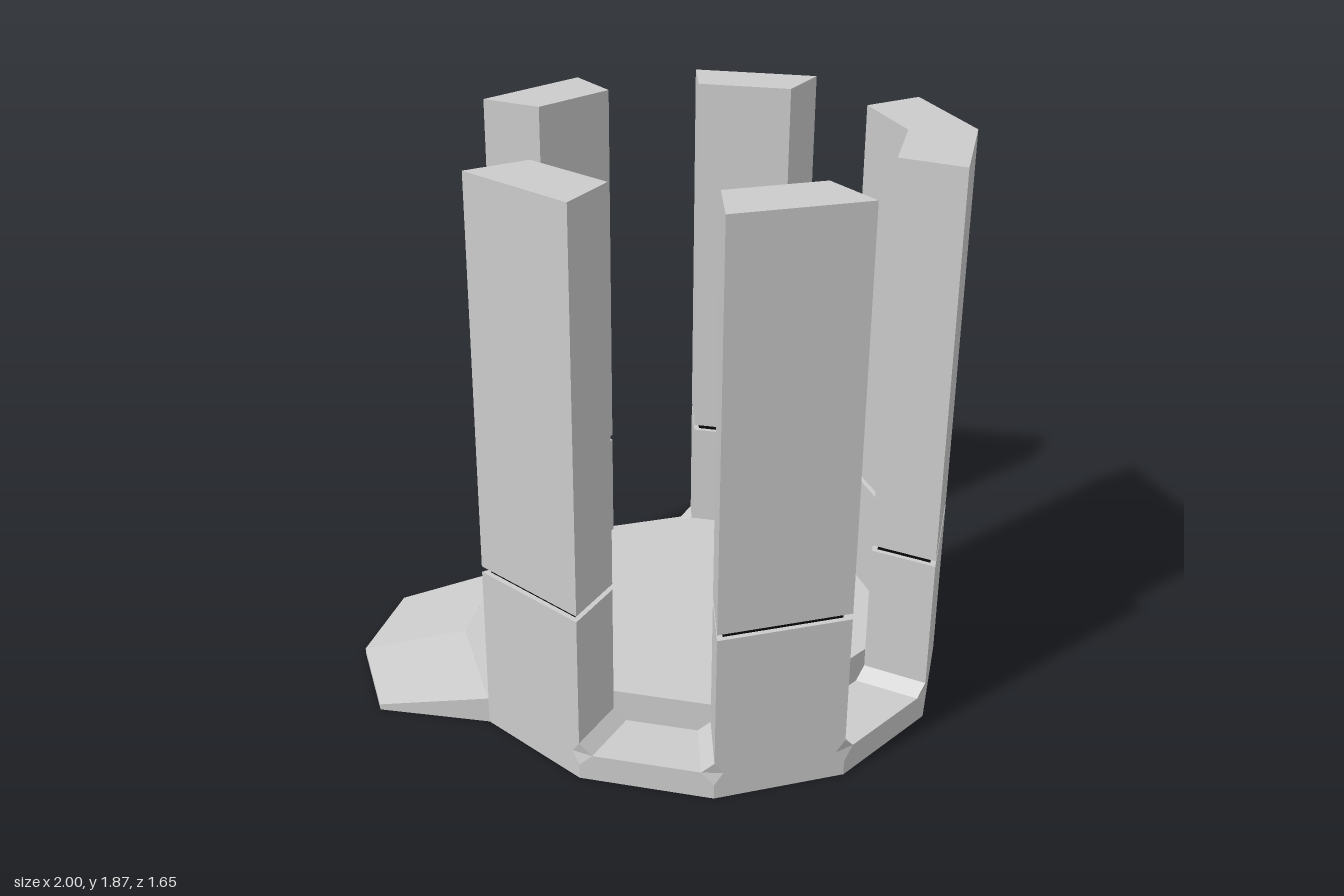
import * as THREE from 'three';

const CX = 0.176, OUTER = 0.824, INNER = 0.61; // dodecagon centre and radii
const FLOOR = 0.09, FOOT = 0.13, DECK = 0.195, TOP = 1.865, SEAM0 = 0.568, SEAM1 = 0.588;

const grey = new THREE.MeshStandardMaterial({ color: 0xcccccc, flatShading: true });
const black = new THREE.MeshStandardMaterial({ color: 0x080808, flatShading: true });

// Point at a radius and angle around the tower axis
function polar(r, deg, y = 0) {
  const a = THREE.MathUtils.degToRad(deg);
  return new THREE.Vector3(CX + r * Math.cos(a), y, r * Math.sin(a));
}

// Move from one point a given distance towards another
function step(from, to, d) {
  return from.clone().addScaledVector(to.clone().sub(from).normalize(), d);
}

// Solid joining equal-length rings, closed with a fan at each end
function loft(name, rings, material = grey) {
  const pos = [];
  const tri = (a, b, c) => {
    const area = b.clone().sub(a).cross(c.clone().sub(a)).length();
    if (area > 1e-9) pos.push(...a.toArray(), ...b.toArray(), ...c.toArray());
  };
  const n = rings[0].length;
  for (let k = 0; k + 1 < rings.length; k++) {
    const A = rings[k], B = rings[k + 1];
    for (let i = 0; i < n; i++) {
      const j = (i + 1) % n;
      tri(A[i], B[i], A[j]);
      tri(A[j], B[i], B[j]);
    }
  }
  const first = rings[0], last = rings[rings.length - 1];
  for (let i = 1; i + 1 < n; i++) {
    tri(first[0], first[i], first[i + 1]);
    tri(last[0], last[i + 1], last[i]);
  }
  const geo = new THREE.BufferGeometry();
  geo.setAttribute('position', new THREE.Float32BufferAttribute(pos, 3));
  geo.computeVertexNormals();
  const mesh = new THREE.Mesh(geo, material);
  mesh.name = name;
  return mesh;
}

const notched = (deg) => Math.abs(deg) >= 30 && Math.abs(deg) <= 120;
const isGapAfter = (deg) => [30, 90, -60, -120].includes(deg); // gap lies at larger angle

// Twelve-sided base outline; cut = 1 clips the corners beside the pillars
function baseRing(y, cut) {
  const ring = [];
  for (let i = 0; i < 12; i++) {
    const deg = i <= 6 ? i * 30 : i * 30 - 360;
    const p = polar(OUTER, deg, y);
    const d = cut && notched(deg) ? 1 : 0;
    const after = isGapAfter(deg);
    ring.push(step(p, polar(OUTER, deg - 30, y), d * (after ? 0.03 : 0.0415)));
    ring.push(step(p, polar(OUTER, deg + 30, y), d * (after ? 0.0415 : 0.03)));
  }
  return ring;
}

// Pillar outline between two angles; flare spreads its foot, inset shrinks it
function pillarRing(a0, a1, y, flare = 0, inset = 0) {
  const ro = OUTER - inset, ri = INNER + inset;
  const single = a1 - a0 === 30 ? Math.cos(Math.PI / 12) : 1;
  const mid = (a0 + a1) / 2;
  const end = (r, deg, dir, d) => {
    const p = polar(r, deg, y);
    return step(p, polar(r, deg + 30 * dir, y), d);
  };
  const f0 = notched(a0) ? flare : 0, f1 = notched(a1) ? flare : 0;
  return [
    polar(ro * single, mid, y),
    end(ro, a1, -1, f1 * 0.03 + inset),
    end(ro, a1, f1 ? 1 : -1, f1 * 0.0415 + inset),
    end(ri, a1, f1 ? 1 : -1, f1 * 0.0415 + inset),
    polar(ri * single, mid, y),
    end(ri, a0, f0 ? -1 : 1, f0 * 0.0415 + inset),
    end(ro, a0, f0 ? -1 : 1, f0 * 0.0415 + inset),
    end(ro, a0, 1, f0 * 0.03 + inset),
  ];
}

const V = (x, y, z) => new THREE.Vector3(x, y, z);

export function createModel() {
  const group = new THREE.Group();

  // Base slab and raised deck
  group.add(loft('base', [baseRing(0, 0), baseRing(0.05, 0), baseRing(FLOOR, 1)]));
  const deckRing = (y) => Array.from({ length: 12 }, (_, i) => polar(INNER, i * 30, y));
  group.add(loft('deck', [deckRing(FLOOR), deckRing(DECK)]));

  // Pillars split by a dark recessed seam
  for (const [a0, a1] of [[-30, 30], [60, 90], [120, 150], [-90, -60], [-150, -120]]) {
    const pillar = new THREE.Group();
    pillar.name = 'pillar';
    const ring = (y, flare, inset) => pillarRing(a0, a1, y, flare, inset);
    pillar.add(loft('lowerPillar', [ring(FLOOR, 1), ring(FOOT), ring(SEAM0)]));
    pillar.add(loft('seam', [ring(SEAM0, 0, 0.018), ring(SEAM1, 0, 0.018)], black));
    pillar.add(loft('upperPillar', [ring(SEAM1), ring(TOP)]));
    group.add(pillar);
  }

  // Entrance ramp, from one side through the middle to the other
  const rampSection = (xIn, zIn, xTip, zTip) => [
    V(xIn, 0, zIn), V(xTip, 0, zTip), V(xTip, 0.02, zTip), V(xIn, FLOOR, zIn),
  ];
  group.add(loft('ramp', [
    rampSection(-0.538, -0.412, -0.905, -0.337),
    rampSection(-0.648, 0, -1, 0),
    rampSection(-0.538, 0.412, -0.905, 0.337),
  ]));

  // Sloped step from the ramp up to the deck
  const stepSection = (xIn, xOut, z) => [V(xIn, FLOOR, z), V(xOut, FLOOR, z), V(xIn, DECK, z)];
  group.add(loft('deckSlope', [
    stepSection(-0.352, -0.485, -0.305),
    stepSection(-0.434, -0.567, 0),
    stepSection(-0.352, -0.485, 0.305),
  ]));

  return group;
}
